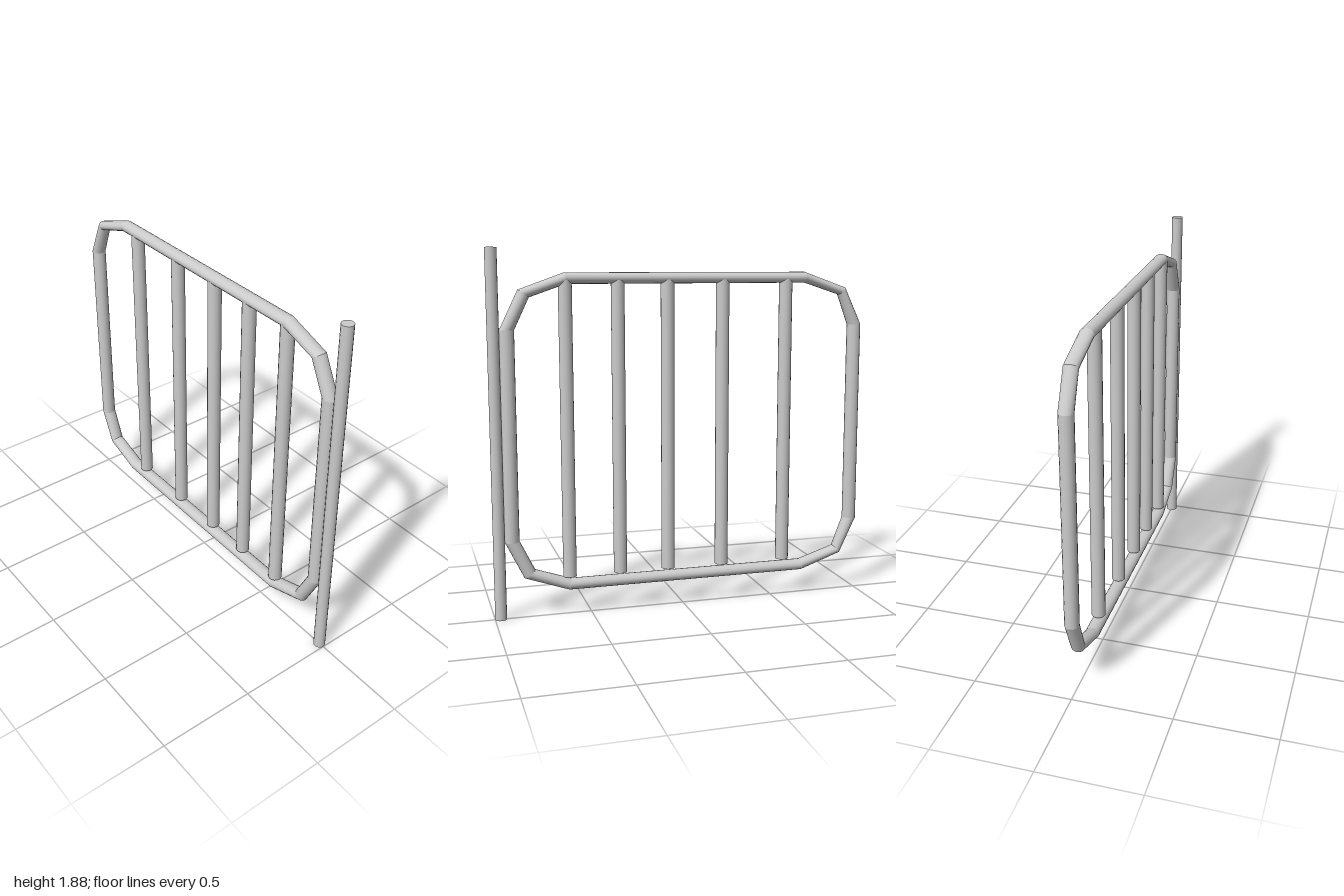
import * as THREE from 'three';
import { mergeGeometries } from 'three/addons/utils/BufferGeometryUtils.js';

const SIDES = 16;
const material = new THREE.MeshStandardMaterial({ color: 0xcccccc });

// Frame corners as [outer z, outer y, inner z, inner y], top edge first
const CORNERS = [
  [-0.67, 1.757, -0.67, 1.7], [0.615, 1.757, 0.605, 1.7],
  [0.845, 1.674, 0.79, 1.636], [0.94, 1.478, 0.866, 1.476],
  [0.94, 0.402, 0.866, 0.406], [0.845, 0.208, 0.79, 0.25],
  [0.615, 0.128, 0.605, 0.187], [-0.675, 0.128, -0.67, 0.187],
  [-0.904, 0.208, -0.866, 0.25], [-0.998, 0.402, -0.925, 0.406],
  [-0.998, 1.478, -0.925, 1.476], [-0.904, 1.674, -0.866, 1.636],
];

// One straight tube section between two mitred corner rings
function frameSection(a, b) {
  const positions = [], index = [];
  for (const [oz, oy, iz, iy] of [a, b]) {
    for (let k = 0; k < SIDES; k++) {
      const t = (k / SIDES) * Math.PI * 2;
      const w = (1 + Math.cos(t)) / 2;
      positions.push(0.036 * Math.sin(t), iy + (oy - iy) * w, iz + (oz - iz) * w);
    }
  }
  for (let k = 0; k < SIDES; k++) {
    const n = (k + 1) % SIDES;
    index.push(k, SIDES + k, n, n, SIDES + k, SIDES + n);
  }
  const g = new THREE.BufferGeometry();
  g.setAttribute('position', new THREE.Float32BufferAttribute(positions, 3));
  g.setIndex(index);
  g.computeVertexNormals();
  return g;
}

// Vertical round rod from y0 to y1
function rod(name, radius, y0, y1, z) {
  const mesh = new THREE.Mesh(new THREE.CylinderGeometry(radius, radius, y1 - y0, SIDES), material);
  mesh.name = name;
  mesh.position.set(0, (y0 + y1) / 2, z);
  return mesh;
}

export function createModel() {
  const group = new THREE.Group();
  group.name = 'gate';

  // Closed tubular frame with chamfered corners
  const sections = CORNERS.map((c, i) => frameSection(c, CORNERS[(i + 1) % CORNERS.length]));
  const frame = new THREE.Mesh(mergeGeometries(sections), material);
  frame.name = 'frame';
  group.add(frame);

  // Upright bars hanging from the top rail
  [0.61, 0.342, 0.082, -0.215, -0.565].forEach((z, i) => {
    group.add(rod(`bar${i + 1}`, 0.035, 0.2, 1.72, z));
  });

  // Hinge post
  group.add(rod('post', 0.03, 0, 1.88, 0.97));
  return group;
}
